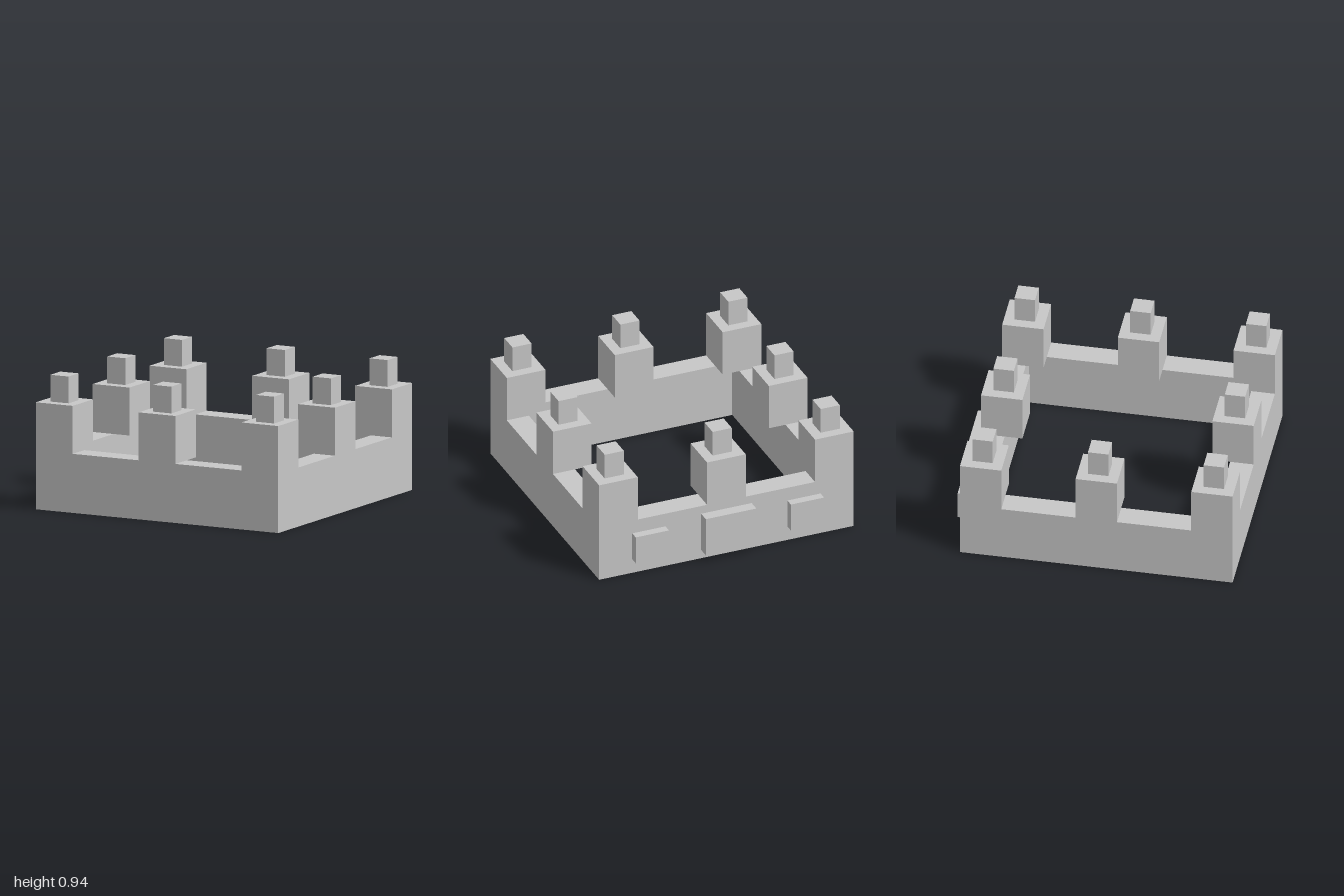
import * as THREE from 'three';

export function createModel() {
  const group = new THREE.Group();
  const stone = new THREE.MeshStandardMaterial({ color: 0xc7c7c7 });
  stone.name = 'light grey stone';

  const X = 0.957, BACK = -0.917, FRONT = 1, MID = (BACK + FRONT) / 2;
  const WALL = 0.166, WALL_TOP = 0.415, POST = 0.291, POST_TOP = 0.752;

  // Box standing on y0
  function block(name, w, h, d, x, y0, z, parent = group) {
    const mesh = new THREE.Mesh(new THREE.BoxGeometry(w, h, d), stone);
    mesh.name = name;
    mesh.position.set(x, y0 + h / 2, z);
    parent.add(mesh);
  }

  // Walls: one rectangular ring, extruded upwards
  const ring = new THREE.Shape([[-X, -FRONT], [X, -FRONT], [X, -BACK], [-X, -BACK]]
    .map(([x, y]) => new THREE.Vector2(x, y)));
  const ix = X - WALL, iFront = FRONT - WALL, iBack = BACK + WALL;
  ring.holes.push(new THREE.Path([[-ix, -iFront], [-ix, -iBack], [ix, -iBack], [ix, -iFront]]
    .map(([x, y]) => new THREE.Vector2(x, y))));
  const wallGeometry = new THREE.ExtrudeGeometry(ring, { depth: WALL_TOP, bevelEnabled: false });
  wallGeometry.rotateX(-Math.PI / 2);
  const walls = new THREE.Mesh(wallGeometry, stone);
  walls.name = 'walls';
  group.add(walls);

  // Battlement posts with small caps, at the corners and the middle of each side
  const px = X - POST / 2, pz = (FRONT - BACK) / 2 - POST / 2;
  for (const i of [-1, 0, 1]) {
    for (const k of [-1, 0, 1]) {
      if (i === 0 && k === 0) continue;
      const battlement = new THREE.Group();
      battlement.name = 'battlement';
      battlement.position.set(i * px, 0, MID + k * pz);
      block('post', POST, POST_TOP - WALL_TOP, POST, 0, WALL_TOP, 0, battlement);
      block('cap', 0.144, 0.188, 0.144, 0, POST_TOP, 0, battlement);
      group.add(battlement);
    }
  }

  // Raised panels on the back wall
  block('largeBackPanel', 0.38, 0.288, 0.083, 0, 0.066, BACK - 0.0415);
  for (const s of [-1, 1]) {
    block('smallBackPanel', 0.25, 0.206, 0.062, s * 0.583, 0.108, BACK - 0.031);
  }
  return group;
}
